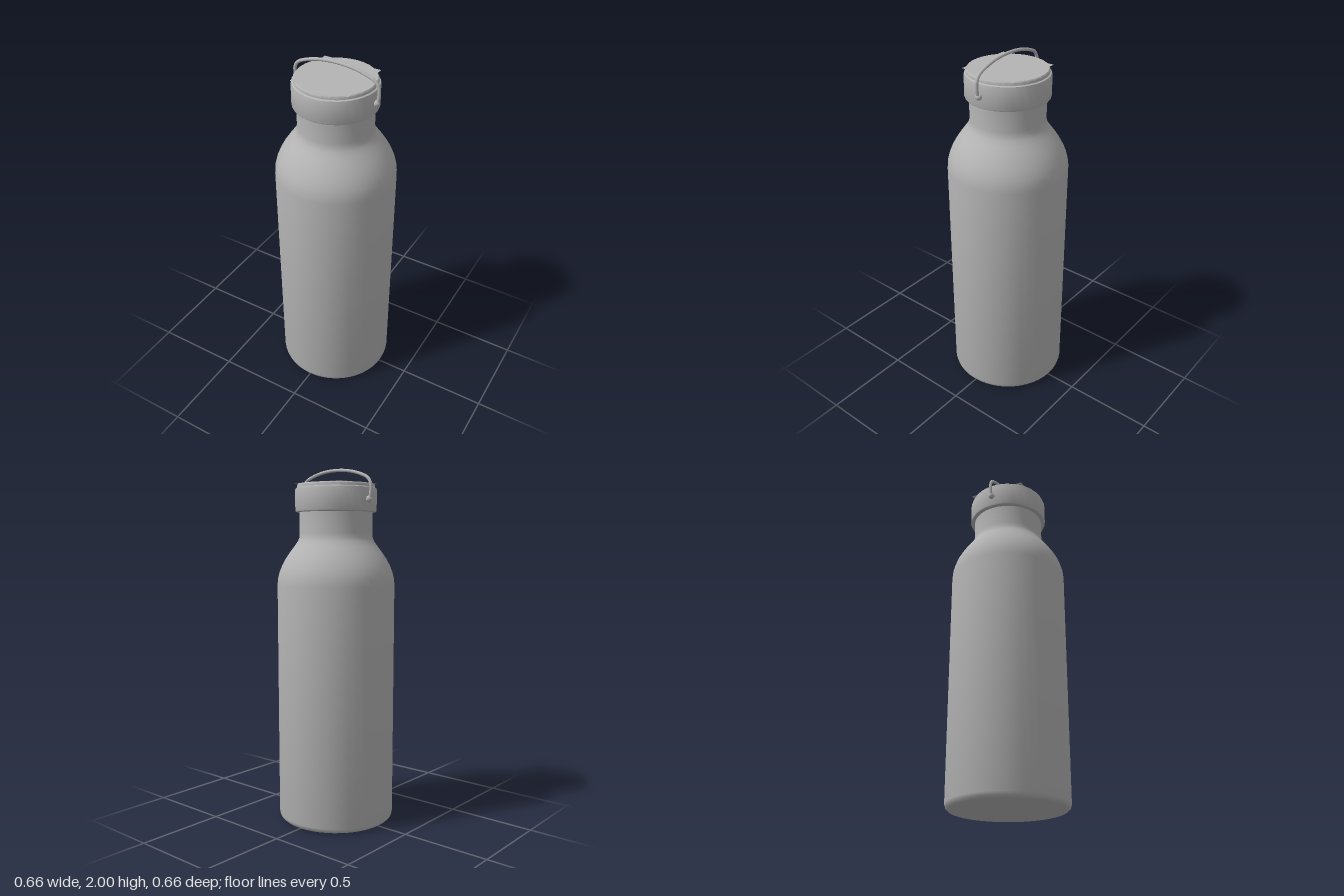
import * as THREE from 'three';
import { toCreasedNormals } from 'three/addons/utils/BufferGeometryUtils.js';

const grey = new THREE.MeshStandardMaterial({ color: 0xb4b4b4 });
grey.name = 'plain grey';
const greySheet = new THREE.MeshStandardMaterial({ color: 0xb4b4b4, side: THREE.DoubleSide });
greySheet.name = 'plain grey sheet';

function add(parent, name, geometry, material = grey) {
  const mesh = new THREE.Mesh(geometry, material);
  mesh.name = name;
  parent.add(mesh);
  return mesh;
}

// Turned part from [radius, height] pairs, listed from bottom to top
function turned(profile, segments) {
  const points = profile.map(([r, y]) => new THREE.Vector2(r, y));
  return toCreasedNormals(new THREE.LatheGeometry(points, segments), 0.7);
}

export function createModel() {
  const model = new THREE.Group();
  model.name = 'bottle';

  // Body with rounded foot, curved shoulder and straight neck
  add(model, 'body', turned([
    [0, 0.004], [0.3, 0.004], [0.315, 0.007], [0.326, 0.017], [0.331, 0.035],
    [0.331, 1.36], [0.328, 1.395], [0.319, 1.43], [0.304, 1.468], [0.283, 1.506],
    [0.258, 1.543], [0.233, 1.576], [0.215, 1.602], [0.207, 1.62], [0.204, 1.645],
    [0.204, 1.78], [0, 1.78],
  ], 48));

  // Lid with a narrower raised top
  const lid = new THREE.Group();
  lid.name = 'lid';
  model.add(lid);
  add(lid, 'lidCap', turned([
    [0, 1.762], [0.218, 1.762], [0.225, 1.765], [0.228, 1.772],
    [0.228, 1.884], [0.225, 1.893], [0.217, 1.897],
    [0.217, 1.911], [0.212, 1.917], [0, 1.917],
  ], 32));

  // Thin square sheet lying on the lid
  const sheet = new THREE.PlaneGeometry(0.333, 0.333);
  sheet.rotateX(-Math.PI / 2);
  add(lid, 'topSheet', sheet, greySheet).position.y = 1.92;

  // Wire handle arching over the lid
  const half = [[0.232, 1.822], [0.241, 1.845], [0.245, 1.88], [0.243, 1.91],
    [0.225, 1.94], [0.18, 1.962], [0.1, 1.983]];
  const path = [
    ...half.map(([x, y]) => new THREE.Vector3(-x, y, 0)),
    new THREE.Vector3(0, 1.991, 0),
    ...half.map(([x, y]) => new THREE.Vector3(x, y, 0)).reverse(),
  ];
  const handle = new THREE.Group();
  handle.name = 'handle';
  model.add(handle);
  add(handle, 'handleWire',
    new THREE.TubeGeometry(new THREE.CatmullRomCurve3(path), 72, 0.009, 10));

  // Pivot knobs at both ends of the wire
  for (const [name, side] of [['leftPivot', 1], ['rightPivot', -1]]) {
    add(handle, name, new THREE.SphereGeometry(0.018, 16, 12)).position.set(side * 0.232, 1.827, 0);
  }

  return model;
}
